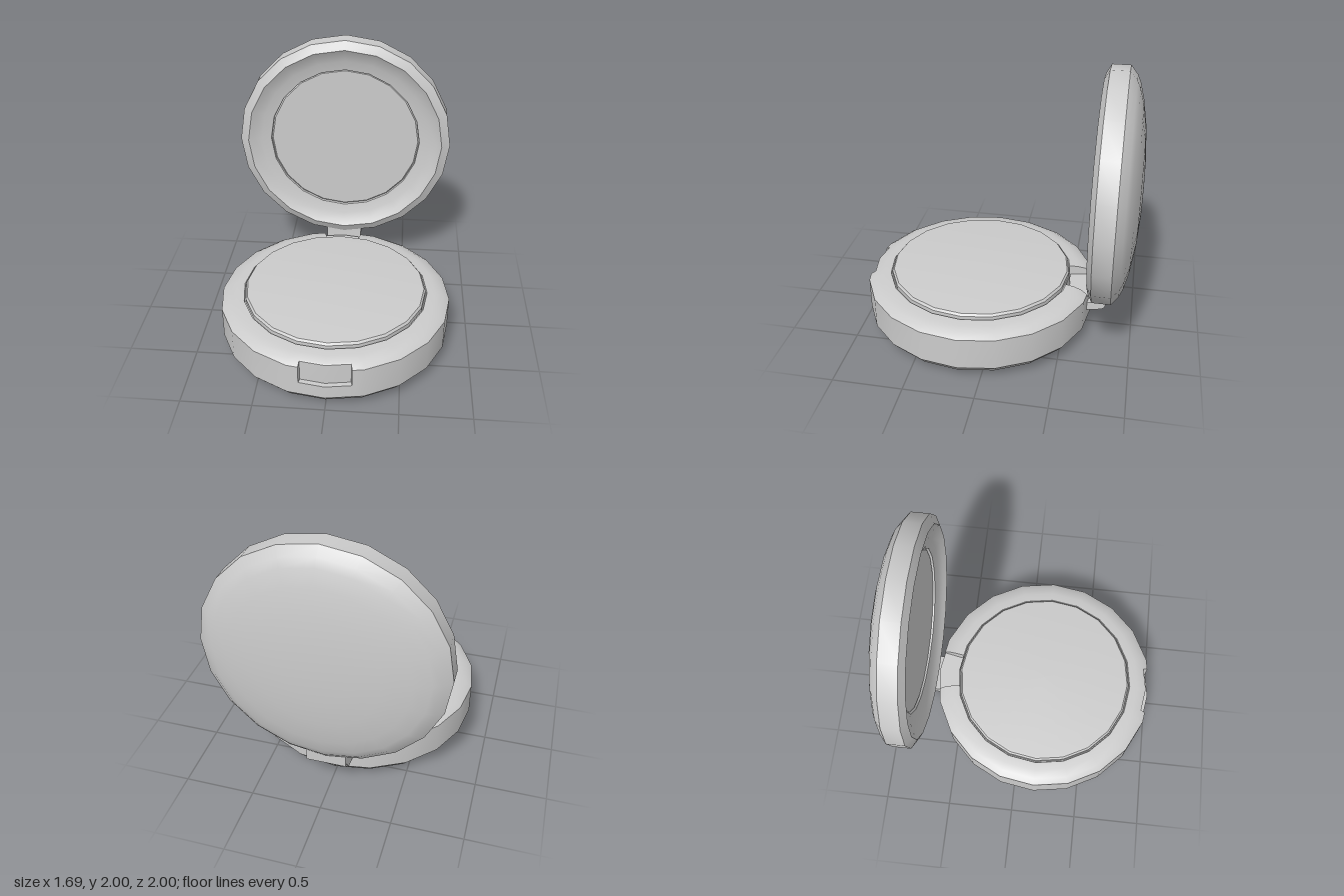
import * as THREE from 'three';
import { toCreasedNormals } from 'three/addons/utils/BufferGeometryUtils.js';

const STEP = 18; // twenty-sided outline
const rad = THREE.MathUtils.degToRad;

// Radius factor that keeps in-between angles on the straight polygon sides
const onPolygon = (deg) => {
  const d = ((deg % STEP) + STEP) % STEP;
  return Math.cos(rad(STEP / 2)) / Math.cos(rad(d - STEP / 2));
};

// Angles from a to b, including every polygon corner between them
function span(a, b) {
  const out = [a];
  for (let k = Math.floor(a / STEP + 1) * STEP; k < b - 1e-6; k += STEP) out.push(k);
  return [...out, b];
}

// Sweeps [radius, height] profiles over ranges of angle (0 = +z)
function sweep(...sectors) {
  const pos = [];
  for (const [angles, profile] of sectors) {
    const at = (deg, [r, y]) => {
      const s = r * onPolygon(deg);
      return [s * Math.sin(rad(deg)), y, s * Math.cos(rad(deg))];
    };
    for (let i = 0; i < angles.length - 1; i++) {
      for (let j = 0; j < profile.length - 1; j++) {
        const p = profile[j], q = profile[j + 1];
        const a = at(angles[i], p), b = at(angles[i + 1], p);
        const c = at(angles[i + 1], q), d = at(angles[i], q);
        if (p[0] > 0) pos.push(...a, ...b, ...c);
        if (q[0] > 0) pos.push(...a, ...c, ...d);
        else if (p[0] === 0) continue;
      }
    }
  }
  const g = new THREE.BufferGeometry();
  g.setAttribute('position', new THREE.Float32BufferAttribute(pos, 3));
  g.computeVertexNormals();
  return g;
}

const shape = (pts) => new THREE.Shape(pts.map(([x, y]) => new THREE.Vector2(x, y)));

export function createModel() {
  const model = new THREE.Group();
  const mat = new THREE.MeshStandardMaterial({ color: 0xcccccc });
  const flat = new THREE.MeshStandardMaterial({ color: 0xcccccc, flatShading: true });
  const thin = new THREE.MeshStandardMaterial({ color: 0xcccccc, side: THREE.DoubleSide });
  const smooth = (g) => toCreasedNormals(g, rad(32));
  const add = (parent, name, geometry, material = mat) => {
    const m = new THREE.Mesh(geometry, material);
    m.name = name;
    parent.add(m);
    return m;
  };

  // Base case with a thumb notch in front and a hinge notch at the back
  const base = new THREE.Group();
  base.name = 'base';
  base.position.z = 0.155;
  model.add(base);

  const FRONT = 12.5, BACK = 10.7;
  const rim = [[0.80, 0.375], [0.74, 0.39], [0.68, 0.395]];
  const tray = [[0.675, 0.38], [0, 0.38]];
  const wall = [[0.845, 0.11], [0.845, 0.345], ...rim, ...tray];
  const frontCut = [[0.845, 0.11], [0.845, 0.21], [0.81, 0.21], [0.81, 0.368], ...rim, ...tray];
  const backCut = [[0.845, 0.11], [0.845, 0.32], [0.68, 0.32], [0.68, 0.395], ...tray];
  add(base, 'baseShell', smooth(sweep(
    [span(-FRONT, FRONT), frontCut],
    [span(FRONT, 180 - BACK), wall],
    [span(180 - BACK, 180 + BACK), backCut],
    [span(180 + BACK, 360 - FRONT), wall],
  )));
  add(base, 'baseBottom', sweep(
    [span(0, 360), [[0, 0], [0.685, 0], [0.80, 0.055], [0.845, 0.11]]],
  ), flat);

  // Side walls of the two notches
  const frontWall = [[0.81, 0.21], [0.845, 0.21], [0.845, 0.345], [0.81, 0.368]];
  const backWall = [[0.68, 0.32], [0.845, 0.32], [0.845, 0.345], ...rim];
  for (const side of [-1, 1]) {
    for (const [name, deg, pts] of [
      ['thumbNotchSide', side * FRONT, frontWall],
      ['hingeNotchSide', 180 + side * BACK, backWall],
    ]) {
      const g = new THREE.ShapeGeometry(shape(pts));
      g.scale(onPolygon(deg), 1, 1);
      g.rotateY(rad(deg - 90));
      add(base, name, g, thin);
    }
  }

  // Powder pan standing slightly proud of the base
  add(base, 'powderPan', smooth(sweep(
    [span(0, 360), [[0.668, 0.38], [0.668, 0.412], [0.655, 0.428], [0.64, 0.43], [0, 0.43]]],
  )));

  // Open lid: domed back, chamfered rim and hollow inside
  const lid = new THREE.Group();
  lid.name = 'lid';
  lid.position.y = 1.178;
  lid.rotation.x = Math.PI / 2; // profile height runs along z
  model.add(lid);
  add(lid, 'lidShell', smooth(sweep([span(0, 360), [
    [0, -1], [0.22, -0.995], [0.42, -0.98], [0.6, -0.95], [0.71, -0.92], [0.765, -0.895],
    [0.825, -0.845], [0.825, -0.715], [0.76, -0.68],
    [0.72, -0.705], [0.66, -0.728], [0.587, -0.742], [0.585, -0.765],
  ]])));
  add(lid, 'mirror', smooth(sweep(
    [span(0, 360), [[0.587, -0.765], [0.575, -0.755], [0, -0.755]]],
  )));

  // Bent hinge bracket, drawn in (-z, y) and extruded across x
  const W = 0.28;
  const arm = shape([
    [0.62, 0.19], [0.672, 0.2], [0.74, 0.21], [0.78, 0.222], [0.797, 0.235], [0.81, 0.285],
    [0.81, 0.42], [0.72, 0.42], [0.72, 0.36], [0.713, 0.275], [0.7, 0.267], [0.62, 0.265],
  ]);
  const bracket = new THREE.ExtrudeGeometry(arm, { depth: W, bevelEnabled: false });
  bracket.translate(0, 0, -W / 2);
  bracket.rotateY(Math.PI / 2);
  add(model, 'hingeBracket', smooth(bracket));

  // Small stop plate behind the bracket, under the lid
  const plate = add(model, 'hingeStop', new THREE.BoxGeometry(W, 0.14, 0.04));
  plate.position.set(0, 0.352, -0.823);

  return model;
}
